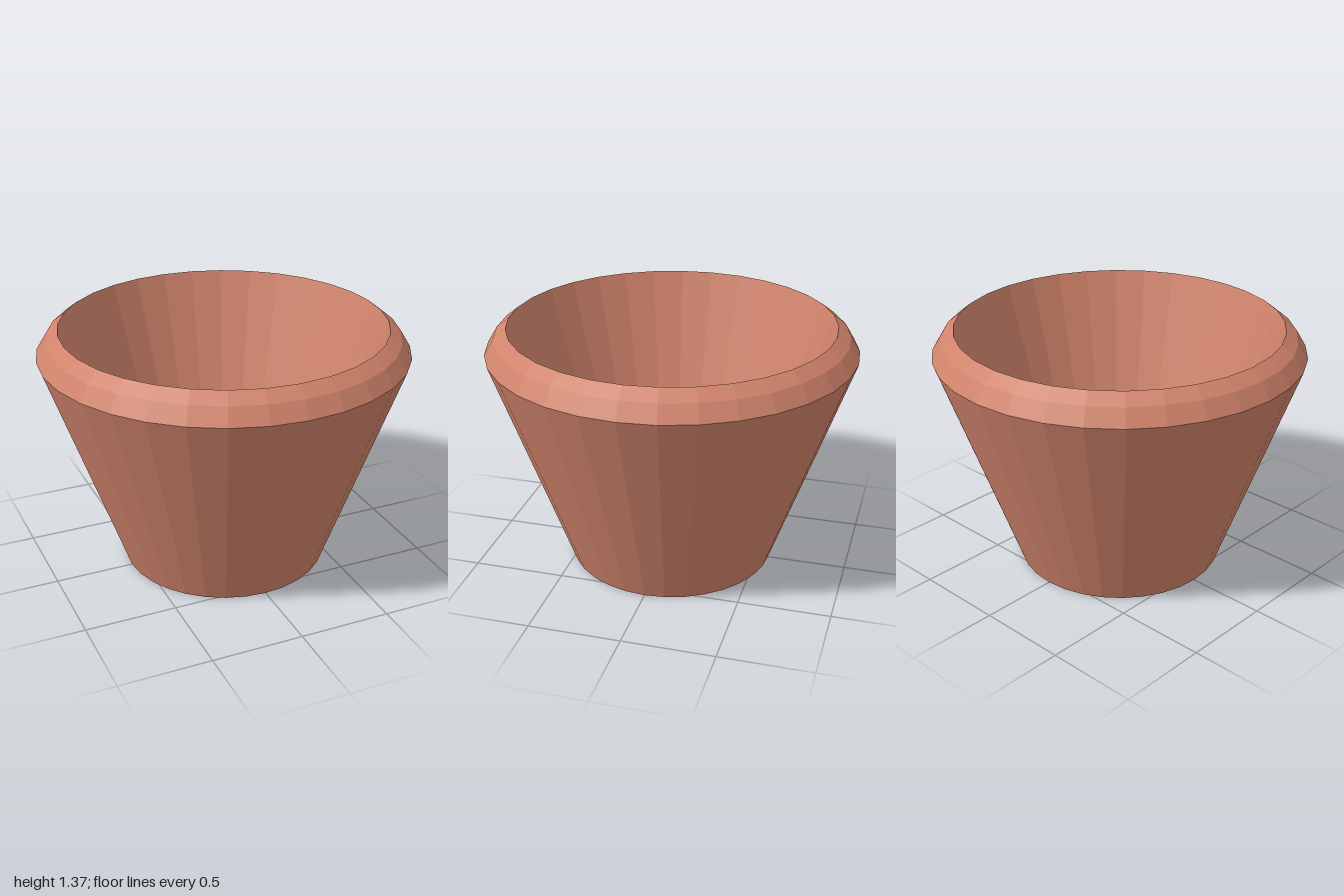
import * as THREE from 'three';

const SEGMENTS = 32;

// Spins a [radius, height] profile around the y axis
function lathe(name, profile, material) {
  const points = profile.map(([r, y]) => new THREE.Vector2(r, y));
  const mesh = new THREE.Mesh(new THREE.LatheGeometry(points, SEGMENTS), material);
  mesh.name = name;
  return mesh;
}

export function createModel() {
  const group = new THREE.Group();
  group.name = 'flowerPot';
  const clay = new THREE.MeshStandardMaterial({ color: 0xd0836b, flatShading: true });

  const base = [0.565, 0];
  const shoulder = [1, 1.225];
  const lip = [0.88, 1.365];
  const floorEdge = [0.485, 0.17];

  group.add(
    // Underside and tapered outside wall
    lathe('outerWall', [[0, 0], base, shoulder], clay),
    // Bevelled rim in two steps
    lathe('rim', [shoulder, [0.947, 1.312], lip], clay),
    // Tapered inside wall and flat floor
    lathe('innerWall', [lip, floorEdge], clay),
    lathe('floor', [floorEdge, [0, floorEdge[1]]], clay)
  );
  return group;
}
